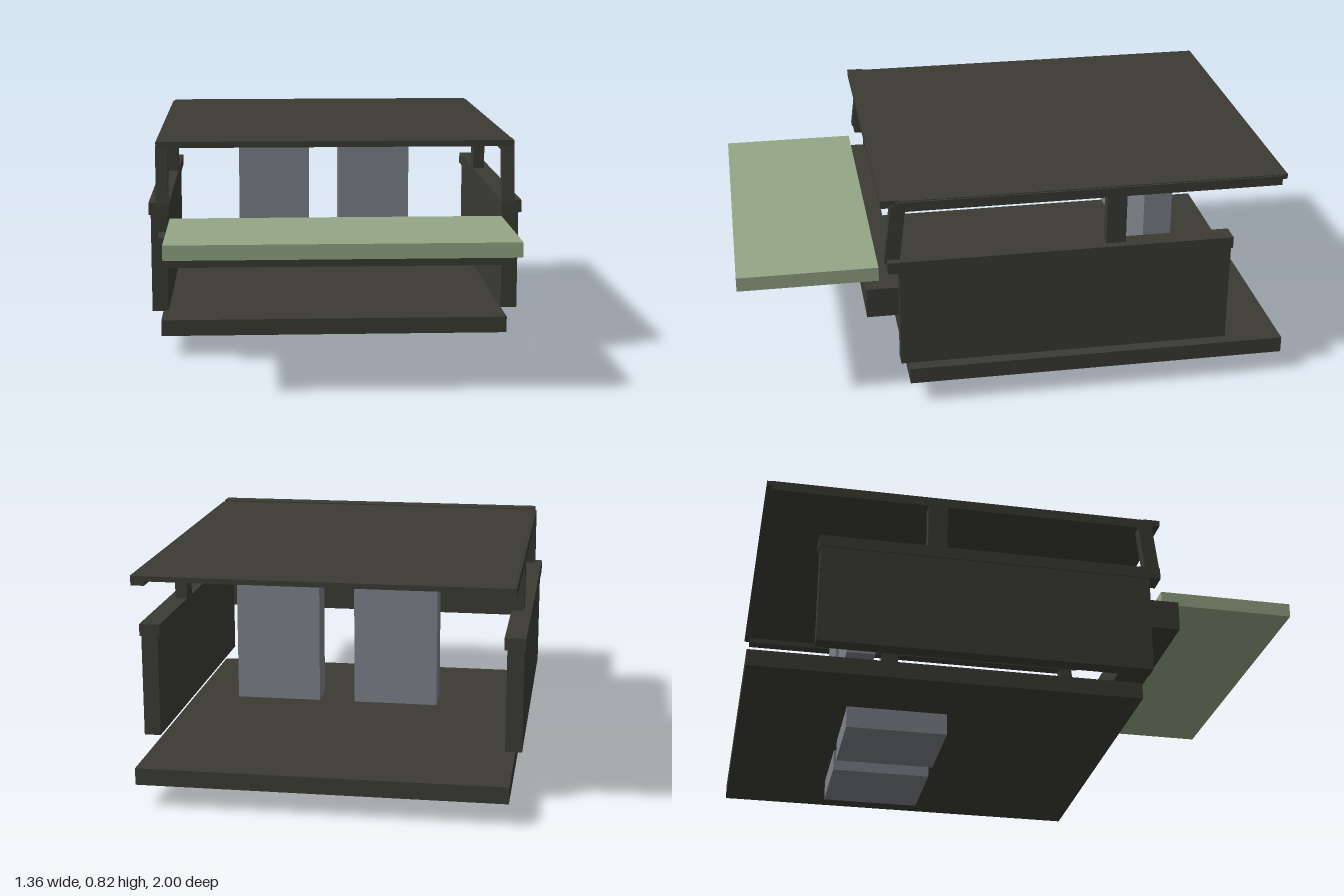
import * as THREE from 'three';

export function createModel() {
  const model = new THREE.Group();
  const dark = new THREE.MeshStandardMaterial({ color: 0x3b3b34 });
  dark.name = 'dark body';
  const green = new THREE.MeshStandardMaterial({ color: 0x93a686 });
  green.name = 'green panel';
  const grey = new THREE.MeshStandardMaterial({ color: 0x7d8189 });
  grey.name = 'grey seat';

  // Box given by its limits on each axis
  const box = (name, mat, x0, x1, y0, y1, z0, z1) => {
    const mesh = new THREE.Mesh(new THREE.BoxGeometry(x1 - x0, y1 - y0, z1 - z0), mat);
    mesh.position.set((x0 + x1) / 2, (y0 + y1) / 2, (z0 + z1) / 2);
    mesh.name = name;
    model.add(mesh);
  };
  // Side profile of [z, y] points, extruded from x0 to x1
  const profile = (name, mat, x0, x1, points) => {
    const shape = new THREE.Shape(points.map(([z, y]) => new THREE.Vector2(-z, y)));
    const geo = new THREE.ExtrudeGeometry(shape, { depth: x1 - x0, bevelEnabled: false });
    geo.rotateY(Math.PI / 2).translate(x0, 0, 0);
    const mesh = new THREE.Mesh(geo, mat);
    mesh.name = name;
    model.add(mesh);
  };
  // Same limits on either side of the middle
  const pair = (name, mat, x0, x1, ...rest) => {
    box(name + 'Left', mat, x0, x1, ...rest);
    box(name + 'Right', mat, -x1, -x0, ...rest);
  };

  // Floor, front bar and hood
  box('floor', dark, -0.645, 0.645, 0.08, 0.14, -1, 0.4);
  box('frontBar', dark, -0.645, 0.645, 0.37, 0.48, 0.43, 0.55);
  box('hood', green, -0.602, 0.602, 0.49, 0.542, 0.5, 1);

  // Side walls with a wider rail on top
  pair('sideWall', dark, 0.615, 0.674, 0.185, 0.59, -0.768, 0.435);
  pair('sideRail', dark, 0.605, 0.679, 0.552, 0.595, -0.774, 0.475);

  // Roof skin, front header and side rails
  box('roof', dark, -0.645, 0.645, 0.797, 0.815, -0.97, 0.48);
  box('roofHeader', dark, -0.645, 0.645, 0.797, 0.819, 0.43, 0.492);
  pair('roofRail', dark, 0.605, 0.652, 0.777, 0.812, -0.95, 0.44);

  // Pillars: leaning at the front, upright in the middle
  const lean = [[0.484, 0.582], [0.43, 0.582], [0.404, 0.8], [0.457, 0.8]];
  profile('frontPillarLeft', dark, 0.608, 0.652, lean);
  profile('frontPillarRight', dark, -0.652, -0.608, lean);
  pair('middlePillar', dark, 0.605, 0.65, 0.59, 0.78, -0.383, -0.312);

  // Seat backs with sloped tops, and seat bases under the floor
  const back = [[-0.525, 0.3], [-0.631, 0.3], [-0.631, 0.775], [-0.525, 0.705]];
  profile('seatBackLeft', grey, 0.06, 0.357, back);
  profile('seatBackRight', grey, -0.36, -0.065, back);
  pair('seatBase', grey, 0.048, 0.37, 0, 0.1, -0.622, -0.257);

  return model;
}
